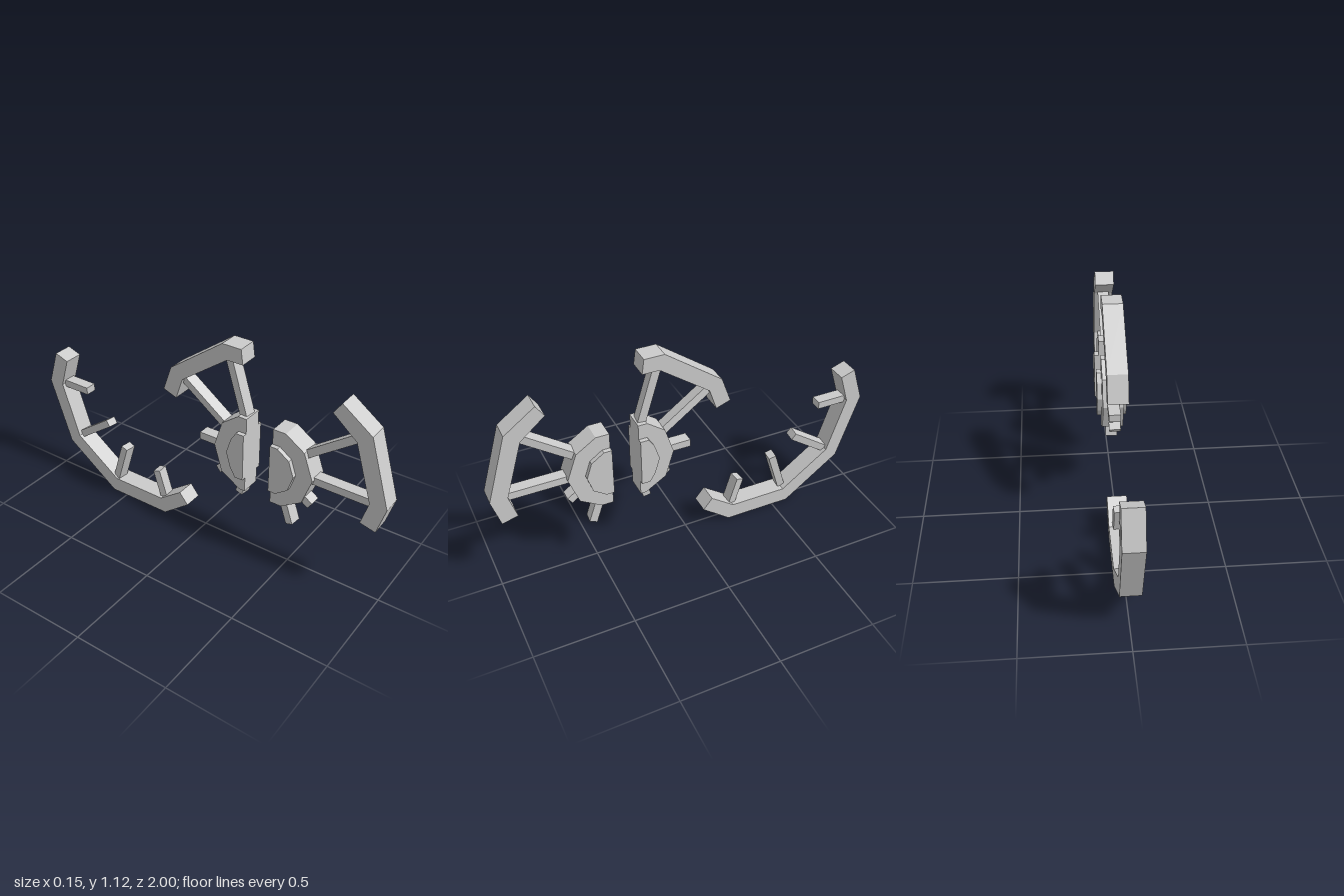
import * as THREE from 'three';

const material = new THREE.MeshStandardMaterial({ color: 0xcccccc });

// Slab with a [z, y] outline, centred on x = 0
function slab(name, outline, width) {
  const shape = new THREE.Shape(outline.map(([z, y]) => new THREE.Vector2(-z, y)));
  const geometry = new THREE.ExtrudeGeometry(shape, { depth: width, bevelEnabled: false });
  geometry.translate(0, 0, -width / 2).rotateY(Math.PI / 2);
  const mesh = new THREE.Mesh(geometry, material);
  mesh.name = name;
  return mesh;
}

// Square-cut bar between a lower and an upper [z, y] point
function spoke([z0, y0], [z1, y1], x = 0, twist = 0) {
  const dz = z1 - z0, dy = y1 - y0;
  const mesh = new THREE.Mesh(new THREE.BoxGeometry(0.06, Math.hypot(dz, dy), 0.04), material);
  mesh.position.set(x, (y0 + y1) / 2, (z0 + z1) / 2);
  mesh.rotation.set(Math.atan2(dz, dy), twist, 0);
  mesh.name = 'spoke';
  return mesh;
}

function piece(name, parts) {
  const group = new THREE.Group();
  group.name = name;
  group.add(...parts);
  return group;
}

export function createModel() {
  const model = new THREE.Group();
  model.name = 'brokenWheel';

  // Front fragment: half hub, two whole spokes, two stubs, rim
  model.add(piece('frontFragment', [
    slab('rim', [[0.70, 0.96], [0.74, 1.02], [0.895, 0.907], [1, 0.565], [0.96, 0.425],
      [0.88, 0.445], [0.915, 0.565], [0.825, 0.855]], 0.1),
    slab('hub', [[0.412, 0.77], [0.479, 0.77], [0.58, 0.703], [0.63, 0.565], [0.58, 0.425],
      [0.473, 0.358], [0.412, 0.358]], 0.105),
    slab('hubCap', [[0.412, 0.69], [0.452, 0.69], [0.516, 0.645], [0.543, 0.565],
      [0.516, 0.482], [0.452, 0.437], [0.412, 0.437]], 0.152),
    spoke([0.56, 0.668], [0.83, 0.865], 0, -0.1),
    spoke([0.6, 0.555], [0.93, 0.555]),
    spoke([0.62, 0.415], [0.55, 0.465], -0.01),
    spoke([0.513, 0.25], [0.465, 0.39], 0.003, -0.1),
  ]));

  // Middle fragment: other half of the hub with the upper rim
  model.add(piece('middleFragment', [
    slab('rim', [[0.238, 1.043], [0.227, 1.12], [0.125, 1.12], [-0.17, 0.905], [-0.217, 0.773],
      [-0.142, 0.746], [-0.104, 0.858], [0.152, 1.043]], 0.1),
    slab('hub', [[0.268, 0.77], [0.222, 0.77], [0.131, 0.703], [0.088, 0.565], [0.131, 0.425],
      [0.238, 0.358], [0.268, 0.358]], 0.105),
    slab('hubCap', [[0.268, 0.69], [0.225, 0.69], [0.197, 0.645], [0.172, 0.565],
      [0.197, 0.482], [0.225, 0.437], [0.268, 0.437]], 0.152),
    spoke([0.243, 0.75], [0.148, 1.06], 0, -0.1),
    spoke([0.15, 0.665], [-0.12, 0.862], 0, -0.1),
    spoke([0.11, 0.565], [-0.013, 0.565]),
    spoke([0.105, 0.415], [0.16, 0.465], -0.01, -0.1),
    spoke([0.222, 0.315], [0.24, 0.38], 0, -0.1),
  ]));

  // Rear fragment: long rim arc with four broken spokes
  model.add(piece('rearFragment', [
    slab('rim', [[-0.864, 0.72], [-0.94, 0.746], [-1, 0.565], [-0.885, 0.217], [-0.59, 0],
      [-0.233, 0], [-0.083, 0.115], [-0.131, 0.175], [-0.259, 0.083], [-0.564, 0.083],
      [-0.82, 0.27], [-0.914, 0.565]], 0.1),
    spoke([-0.93, 0.565], [-0.755, 0.565]),
    spoke([-0.84, 0.255], [-0.62, 0.408], 0, -0.1),
    spoke([-0.58, 0.06], [-0.505, 0.3], -0.01, -0.1),
    spoke([-0.25, 0.06], [-0.302, 0.23], 0, 0.1),
  ]));

  return model;
}
